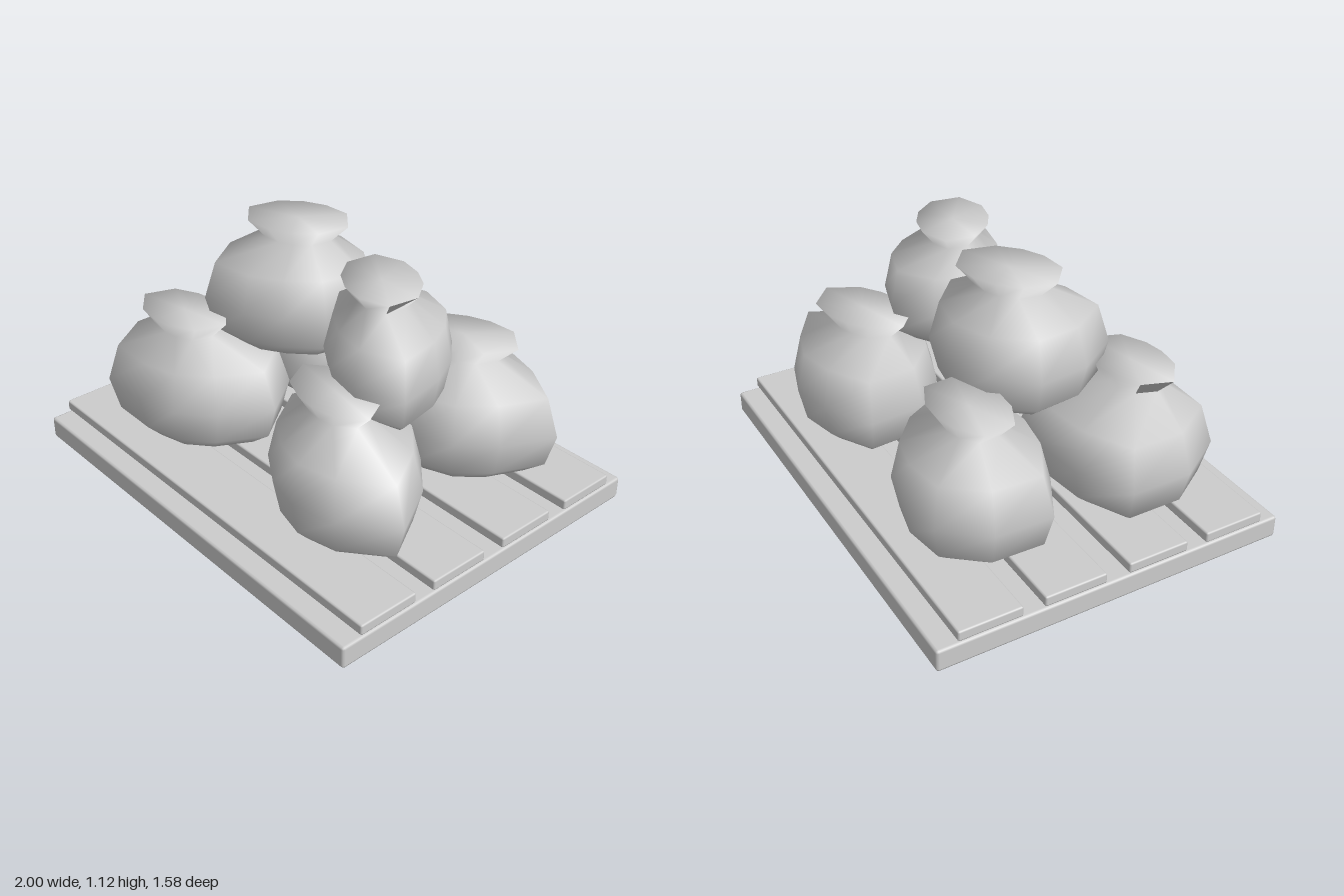
import * as THREE from 'three';
import { RoundedBoxGeometry } from 'three/addons/geometries/RoundedBoxGeometry.js';

// Height fraction and width factor of the rings: body, then tied neck and flared mouth
const BODY = [[0, 0.69], [0.115, 0.9], [0.38, 1], [0.68, 0.87]];
const MOUTH = [[0.855, 0.66], [1, 1]];

// Lofts a lumpy body into an oval neck and mouth, closed at both ends.
// radii: widest ring at even angles from turn; centre and mouth positions are [x, z]
function sackGeometry(bottomY, topY, centre, turn, radii, mouth, mouthSize, mouthTurn) {
  const n = radii.length;
  const angles = radii.map((r, i) => THREE.MathUtils.degToRad(turn) + (i / n) * Math.PI * 2);
  const pos = [];
  const index = [];
  const addRing = ([cx, cz], f, radiusAt) => angles.forEach((a, i) => {
    const r = radiusAt(a, i);
    pos.push(cx + r * Math.cos(a), THREE.MathUtils.lerp(bottomY, topY, f), cz + r * Math.sin(a));
  });

  for (const [f, s] of BODY) addRing(centre, f, (a, i) => s * radii[i]);
  for (const [f, s] of MOUTH) {
    addRing(mouth, f, (a) => s / Math.hypot(
      Math.cos(a - mouthTurn) / mouthSize[0], Math.sin(a - mouthTurn) / mouthSize[1]));
  }
  const rings = BODY.length + MOUTH.length;
  const end = rings * n;
  const top = end - n;
  pos.push(centre[0], bottomY, centre[1], mouth[0], topY, mouth[1]);

  for (let i = 0; i < n; i++) {
    const j = (i + 1) % n;
    for (let k = 0; k < top; k += n) {
      index.push(k + i, k + n + i, k + j, k + j, k + n + i, k + n + j);
    }
    index.push(end, i, j, end + 1, top + j, top + i);
  }
  const geometry = new THREE.BufferGeometry();
  geometry.setAttribute('position', new THREE.Float32BufferAttribute(pos, 3));
  geometry.setIndex(index);
  geometry.computeVertexNormals();
  return geometry;
}

export function createModel() {
  const model = new THREE.Group();
  model.name = 'sacksOnPallet';
  const grey = new THREE.MeshStandardMaterial({ color: 0xcccccc });
  grey.name = 'light grey';

  const add = (name, geometry, y = 0, z = 0) => {
    const mesh = new THREE.Mesh(geometry, grey);
    mesh.name = name;
    mesh.position.set(0, y, z);
    model.add(mesh);
  };

  // Pallet: solid base with four planks
  add('palletBase', new RoundedBoxGeometry(2, 0.1, 1.584, 1, 0.012), 0.05);
  [0.565, 0.193, -0.19, -0.563].forEach((z, i) => {
    add(`plank${i + 1}`, new RoundedBoxGeometry(2, 0.047, 0.278, 1, 0.008), 0.1315, z);
  });

  // Four sacks standing on the planks
  add('backRightSack', sackGeometry(0.155, 0.72, [-0.45, -0.36], 13,
    [0.44, 0.385, 0.32, 0.33, 0.42, 0.39, 0.355, 0.3, 0.3, 0.33], [-0.47, -0.36], [0.235, 0.145], -0.1));
  add('frontRightSack', sackGeometry(0.155, 0.72, [-0.46, 0.33], -12,
    [0.42, 0.32, 0.295, 0.305, 0.405, 0.42, 0.45, 0.345, 0.325, 0.39], [-0.495, 0.37], [0.235, 0.145], -0.1));
  add('backLeftSack', sackGeometry(0.155, 0.72, [0.46, -0.38], -16,
    [0.427, 0.325, 0.31, 0.33, 0.33, 0.385, 0.415, 0.32, 0.31, 0.32], [0.43, -0.375], [0.255, 0.15], -0.4));
  add('frontLeftSack', sackGeometry(0.155, 0.72, [0.46, 0.33], 9,
    [0.445, 0.335, 0.285, 0.27, 0.31, 0.415, 0.36, 0.33, 0.335, 0.345], [0.42, 0.32], [0.24, 0.14], 0.1));

  // Two sacks stacked on top
  add('upperRightSack', sackGeometry(0.58, 1.12, [-0.22, -0.01], -22,
    [0.377, 0.305, 0.26, 0.29, 0.38, 0.355, 0.365, 0.335, 0.33, 0.345], [-0.225, -0.04], [0.235, 0.16], -0.5));
  add('upperLeftSack', sackGeometry(0.57, 1.075, [0.41, 0.01], 0,
    [0.26, 0.37, 0.31, 0.27, 0.28, 0.365, 0.34, 0.325, 0.265, 0.235], [0.355, 0.025], [0.225, 0.155], 0.5));
  return model;
}
